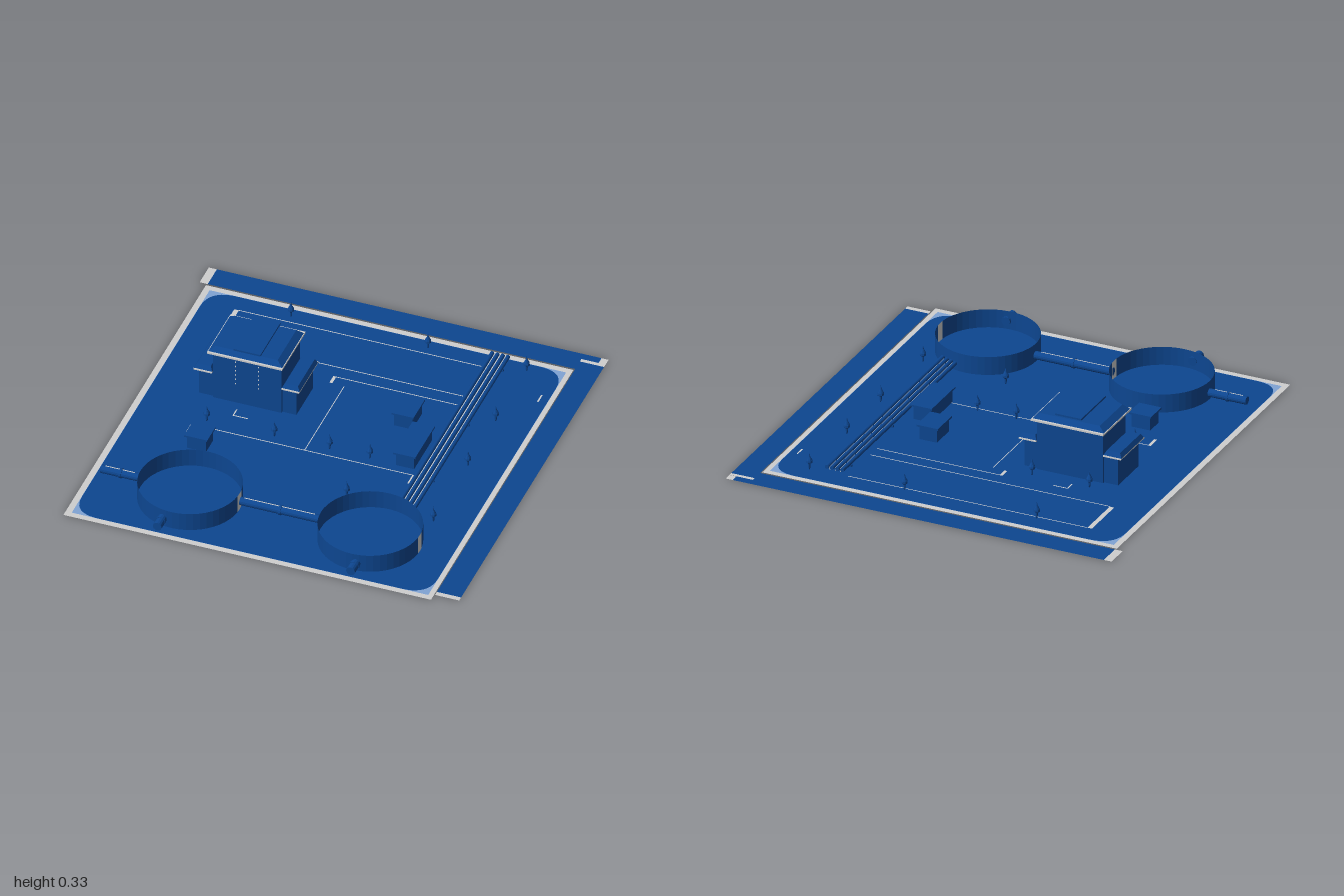
import * as THREE from 'three';

const mat = (name, color) => {
  const m = new THREE.MeshStandardMaterial({ color, side: THREE.DoubleSide, flatShading: true });
  m.name = name;
  return m;
};

export function createModel() {
  const blue = mat('deep blue', 0x0d4690);
  const grey = mat('pale grey', 0xcfcfcf);
  const sky = mat('light blue', 0x7fa3d4);
  const root = new THREE.Group();

  const add = (name, geo, material, x = 0, y = 0, z = 0, parent = root) => {
    const m = new THREE.Mesh(geo, material);
    m.name = name;
    m.position.set(x, y, z);
    parent.add(m);
    return m;
  };
  // Box given by its limits
  const box = (name, material, x0, x1, y0, y1, z0, z1, parent = root) =>
    add(name, new THREE.BoxGeometry(x1 - x0, y1 - y0, z1 - z0), material,
      (x0 + x1) / 2, (y0 + y1) / 2, (z0 + z1) / 2, parent);
  // Flat sheet on the ground given by its limits
  const sheet = (name, material, x0, x1, z0, z1, y = 0) => {
    const g = new THREE.PlaneGeometry(x1 - x0, z1 - z0).rotateX(-Math.PI / 2);
    return add(name, g, material, (x0 + x1) / 2, y, (z0 + z1) / 2);
  };
  // Box whose top is drawn in by dx and dz
  const taper = (name, x0, x1, y0, y1, z0, z1, dx, dz, parent) => {
    const m = box(name, blue, x0, x1, y0, y1, z0, z1, parent);
    const p = m.geometry.attributes.position;
    for (let i = 0; i < p.count; i++) {
      if (p.getY(i) > 0) {
        p.setX(i, p.getX(i) - Math.sign(p.getX(i)) * dx);
        p.setZ(i, p.getZ(i) - Math.sign(p.getZ(i)) * dz);
      }
    }
    m.geometry.computeVertexNormals();
    return m;
  };
  const pipe = (name, axis, r, length, x, y, z) => {
    const g = new THREE.CylinderGeometry(r, r, length, 14);
    if (axis === 'x') g.rotateZ(Math.PI / 2);
    else g.rotateX(Math.PI / 2);
    return add(name, g, blue, x, y, z);
  };
  // Rectangle path, in shape space y = -z
  const rect = (path, x0, x1, z0, z1) => path.moveTo(x0, -z0).lineTo(x1, -z0)
    .lineTo(x1, -z1).lineTo(x0, -z1).closePath();
  const rounded = (path, x0, x1, z0, z1, r) => path
    .moveTo(x0 + r, -z0).lineTo(x1 - r, -z0).quadraticCurveTo(x1, -z0, x1, -z0 - r)
    .lineTo(x1, -z1 + r).quadraticCurveTo(x1, -z1, x1 - r, -z1)
    .lineTo(x0 + r, -z1).quadraticCurveTo(x0, -z1, x0, -z1 + r)
    .lineTo(x0, -z0 - r).quadraticCurveTo(x0, -z0, x0 + r, -z0);
  const flat = (name, shape, material) =>
    add(name, new THREE.ShapeGeometry(shape, 10).rotateX(-Math.PI / 2), material);

  // Ground: kerb frame, pale corners and rounded yard
  const inner = [-0.935, 0.835, -0.84, 0.97];
  const kerb = rect(new THREE.Shape(), -0.965, 0.86, -0.87, 1);
  kerb.holes.push(rect(new THREE.Path(), ...inner));
  flat('kerb', kerb, grey);
  const corners = rect(new THREE.Shape(), ...inner);
  corners.holes.push(rounded(new THREE.Path(), -0.934, 0.834, -0.839, 0.969, 0.13));
  flat('yardCorners', corners, sky);
  flat('yard', rounded(new THREE.Shape(), -0.934, 0.834, -0.839, 0.969, 0.13), blue);

  // Roads along the back and the side
  sheet('backRoad', blue, -0.96, 0.95, -1, -0.88);
  sheet('backRoadEnd', grey, -1, -0.96, -1, -0.88);
  sheet('backRoadEnd', grey, 0.95, 0.985, -1, -0.96);
  sheet('sideRoad', blue, 0.865, 0.985, -0.94, 0.935, 0.001);
  sheet('sideRoadEnd', grey, 0.865, 0.985, -0.96, -0.94, 0.001);
  sheet('sideRoadEnd', grey, 0.865, 0.985, 0.935, 0.96, 0.001);

  // Painted ground lines: x0, x1, z0, z1
  [
    [-0.775, -0.752, -0.74, -0.5], [-0.752, 0.48, -0.742, -0.737], [-0.752, 0.48, -0.5, -0.495],
    [-0.16, 0.48, -0.428, -0.423], [-0.165, -0.15, -0.428, -0.375], [-0.092, -0.088, -0.37, 0.145],
    [-0.655, 0.46, 0.145, 0.15], [-0.655, -0.64, 0.145, 0.215], [0.445, 0.46, 0.145, 0.215],
    [-0.495, -0.42, -0.418, -0.412], [-0.497, -0.491, -0.415, -0.365],
    [-0.495, -0.42, 0.014, 0.02], [-0.497, -0.491, -0.03, 0.02], [0.788, 0.796, -0.635, -0.58],
  ].forEach((l) => sheet('groundLine', grey, ...l, 0.004));

  // Open round tanks with a pale panel on one side, and an outlet pipe each
  [[-0.455, -0.5], [0.44, 0.46]].forEach(([x, outlet]) => {
    const tank = new THREE.Group();
    tank.name = 'tank';
    tank.position.set(x, 0.059, 0.685);
    root.add(tank);
    const wall = (name, m, start, length, n) => add(name,
      new THREE.CylinderGeometry(0.246, 0.246, 0.093, n, 1, true, start, length), m, 0, 0, 0, tank);
    const a = 0.1;
    wall('tankWall', blue, Math.PI / 2 + a, Math.PI * 2 - 2 * a, 46);
    wall('tankPanel', grey, Math.PI / 2 - a, 2 * a, 2);
    pipe('outletPipe', 'z', 0.022, 0.08, outlet, 0.056, 0.958);
    pipe('outletFlange', 'z', 0.025, 0.012, outlet, 0.056, 0.95);
  });

  // Pipes joining the tanks
  [[-0.9, -0.705], [-0.21, 0.19]].forEach(([x0, x1]) => {
    const c = (x0 + x1) / 2;
    pipe('joiningPipe', 'x', 0.02, x1 - x0, c, 0.053, 0.672);
    sheet('pipeStripe', grey, x0 + 0.02, x1 - 0.03, 0.669, 0.675, 0.0745);
    pipe('pipeCollar', 'x', 0.024, 0.012, c, 0.053, 0.672);
  });

  // Long pipe rack, each pipe a little longer than the last
  [0.487, 0.513, 0.54, 0.566].forEach((x, i) => {
    const end = 0.43 + i * 0.011;
    pipe('rackPipe', 'z', 0.01, end + 0.79, x, 0.056, (end - 0.79) / 2);
    if (i < 3) box('rackStrip', grey, x + 0.011, x + 0.016, 0.04, 0.055, -0.78, end);
  });
  [-0.7, -0.255, 0.2].forEach((z) =>
    box('rackCrossbar', blue, 0.478, 0.576, 0.036, 0.046, z - 0.006, z + 0.006));

  // Small sheds with overhanging lids
  [[0.23, 0.34, -0.295, -0.145], [0.345, 0.455, -0.12, 0.135], [-0.61, -0.495, 0.245, 0.355]]
    .forEach(([x0, x1, z0, z1]) => {
      const e = 0.01;
      box('shedBody', blue, x0 + e, x1 - e, 0.022, 0.09, z0 + e, z1 - e);
      box('shedLid', blue, x0, x1, 0.09, 0.099, z0, z1);
    });

  // Stepped main building
  const hall = new THREE.Group();
  hall.name = 'building';
  root.add(hall);
  box('hallBody', blue, -0.628, -0.287, 0.012, 0.28, -0.31, -0.07, hall);
  box('hallEaves', grey, -0.648, -0.275, 0.279, 0.288, -0.352, -0.045, hall);
  taper('hallRoof', -0.645, -0.278, 0.288, 0.312, -0.34, -0.055, 0.03, 0.02, hall);
  box('skylightBase', blue, -0.51, -0.4, 0.312, 0.322, -0.3, -0.08, hall);
  box('skylight', blue, -0.522, -0.388, 0.321, 0.33, -0.325, -0.06, hall);
  [[-0.7, -0.628, -0.722, -0.63], [-0.287, -0.217, -0.285, -0.197]].forEach(([x0, x1, r0, r1]) => {
    box('wingBody', blue, x0, x1, 0.012, 0.155, -0.3, -0.08, hall);
    box('wingEaves', grey, r0, r1, 0.154, 0.16, -0.318, -0.062, hall);
    taper('wingRoof', r0, r1, 0.16, 0.182, -0.312, -0.068, 0.012, 0.012, hall);
  });
  // Dotted seams on the front wall
  [-0.515, -0.4].forEach((x) => {
    for (let y = 0.12; y < 0.27; y += 0.025) {
      box('wallRivet', grey, x - 0.002, x + 0.002, y, y + 0.006, -0.071, -0.067, hall);
    }
  });

  // Slim spindle-shaped posts around the yard
  const spindle = new THREE.LatheGeometry([
    [0, 0.012], [0.005, 0.02], [0.006, 0.042], [0.016, 0.05], [0.015, 0.06], [0.005, 0.08], [0, 0.1],
  ].map(([x, y]) => new THREE.Vector2(x, y)), 8);
  [
    [-0.505, -0.77], [0.175, -0.77], [0.665, -0.77], [0.665, -0.365], [0.665, 0], [0.665, 0.455],
    [0.22, 0.415], [0.22, 0.11], [0.02, 0.11], [-0.255, 0.11], [-0.59, 0.11], [-0.59, -0.38],
    [-0.295, -0.38],
  ].forEach(([x, z]) => add('post', spindle, blue, x, 0, z));

  return root;
}
